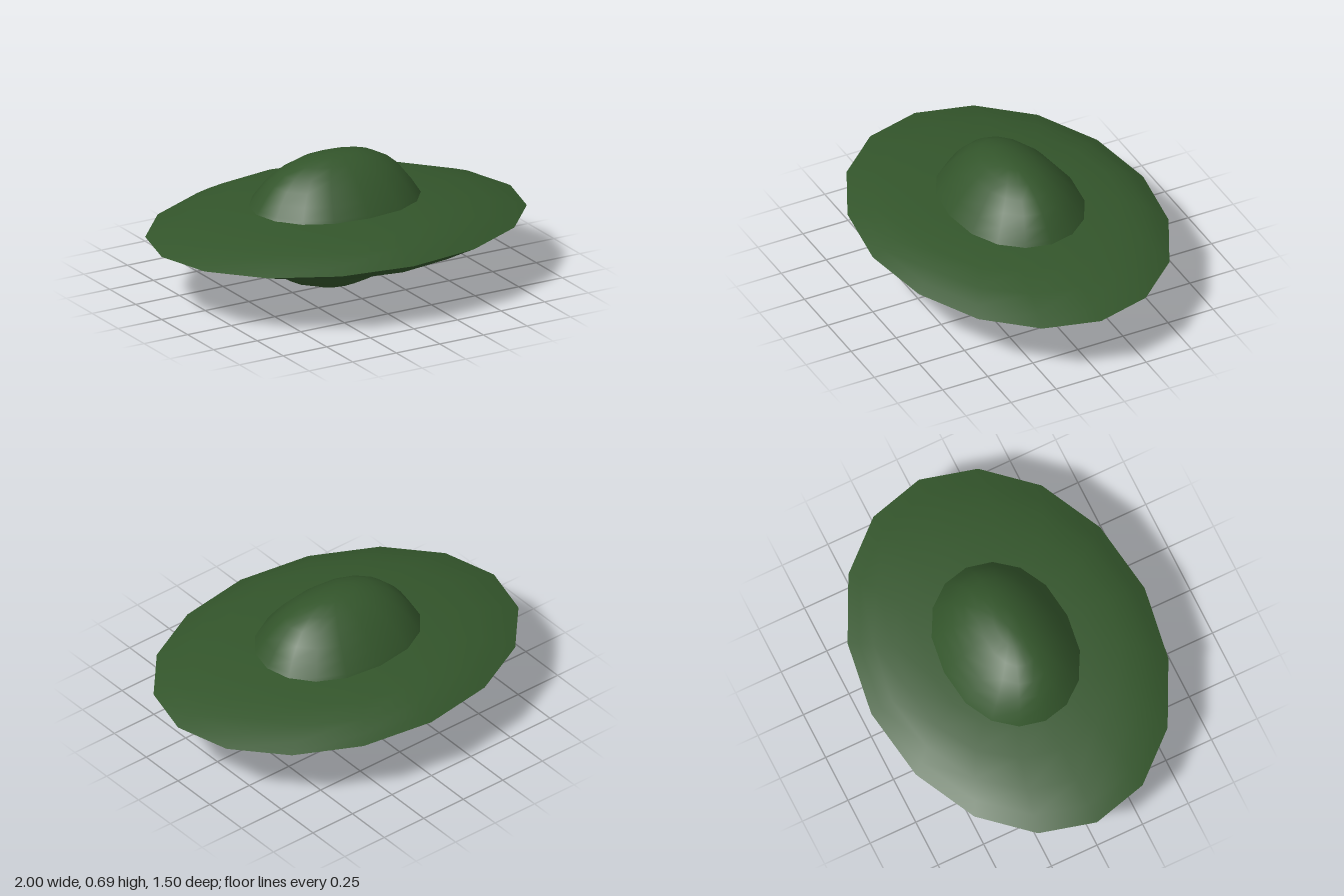
import * as THREE from 'three';

const SIDES = 16;

// Smooth skin through oval rings [y, half width x, half depth z, z shift], listed bottom to top.
// power < 1 makes the ovals a little squarer along x.
function loft(name, rings, material, power = 1) {
  const positions = [];
  const index = [];
  for (const [y, rx, rz, dz = 0] of rings) {
    for (let i = 0; i < SIDES; i++) {
      const a = (i / SIDES) * Math.PI * 2;
      const c = Math.cos(a);
      positions.push(rx * Math.sign(c) * Math.abs(c) ** power, y, rz * Math.sin(a) + dz);
    }
  }
  for (let r = 0; r < rings.length - 1; r++) {
    for (let i = 0; i < SIDES; i++) {
      const j = (i + 1) % SIDES;
      const a = r * SIDES + i, b = r * SIDES + j;
      const c = a + SIDES, d = b + SIDES;
      index.push(a, c, b, b, c, d);
    }
  }
  // close whichever end is narrow with a fan
  const cap = (r, up) => {
    const [y, , , dz = 0] = rings[r];
    const centre = positions.length / 3;
    positions.push(0, y + (up ? 0.004 : -0.004), dz);
    for (let i = 0; i < SIDES; i++) {
      const a = r * SIDES + i, b = r * SIDES + ((i + 1) % SIDES);
      if (up) index.push(a, centre, b);
      else index.push(a, b, centre);
    }
  };
  if (rings[0][1] < 0.2) cap(0, false);
  if (rings[rings.length - 1][1] < 0.2) cap(rings.length - 1, true);

  const geometry = new THREE.BufferGeometry();
  geometry.setAttribute('position', new THREE.Float32BufferAttribute(positions, 3));
  geometry.setIndex(index);
  geometry.computeVertexNormals();
  const mesh = new THREE.Mesh(geometry, material);
  mesh.name = name;
  return mesh;
}

export function createModel() {
  const group = new THREE.Group();
  group.name = 'saucer';
  const green = new THREE.MeshStandardMaterial({ color: 0x33552b, side: THREE.DoubleSide });

  // Disc: two shells meeting at a sharp rim
  group.add(loft('upperDisc', [
    [0.33, 1, 0.75],
    [0.362, 0.91, 0.70],
    [0.397, 0.78, 0.64],
    [0.425, 0.61, 0.545],
    [0.442, 0.45, 0.41],
    [0.449, 0.36, 0.28],
  ], green));
  group.add(loft('lowerDisc', [
    [0.208, 0.35, 0.27],
    [0.215, 0.43, 0.41],
    [0.235, 0.57, 0.55],
    [0.267, 0.74, 0.65],
    [0.30, 0.88, 0.70],
    [0.33, 1, 0.75],
  ], green));

  // Upper dome
  group.add(loft('upperDome', [
    [0.43, 0.455, 0.348, -0.012],
    [0.46, 0.435, 0.33, -0.012],
    [0.515, 0.40, 0.287, -0.01],
    [0.57, 0.355, 0.24, -0.008],
    [0.62, 0.295, 0.185, -0.005],
    [0.662, 0.215, 0.125, -0.003],
    [0.687, 0.115, 0.06, 0],
  ], green, 0.88));

  // Lower dome
  group.add(loft('lowerDome', [
    [0.005, 0.06, 0.05, -0.025],
    [0.018, 0.14, 0.11, -0.02],
    [0.055, 0.25, 0.165, -0.012],
    [0.11, 0.34, 0.225, -0.01],
    [0.165, 0.39, 0.275, -0.006],
    [0.22, 0.43, 0.322, -0.004],
  ], green, 0.92));

  return group;
}
